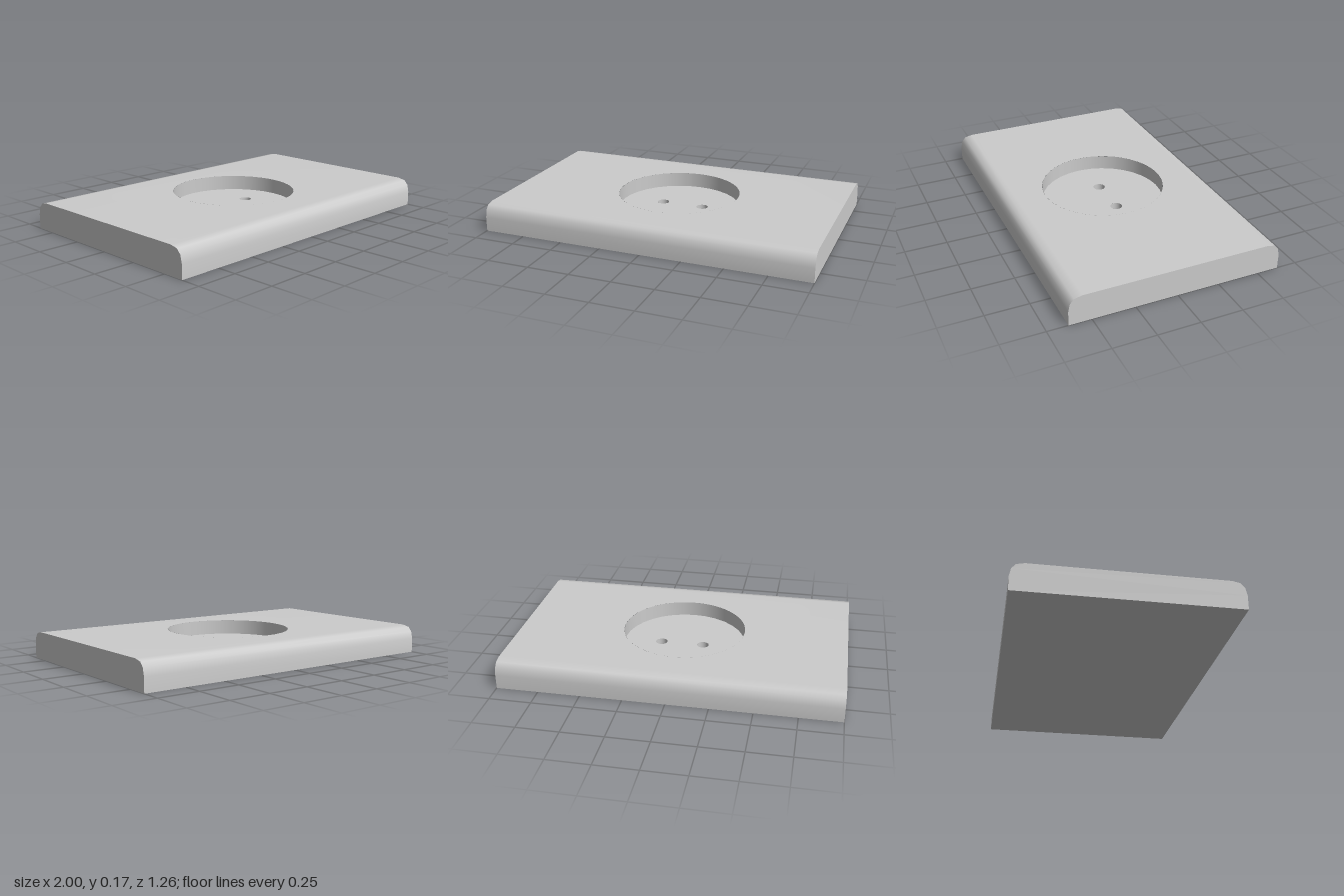
import * as THREE from 'three';
import { mergeGeometries, toCreasedNormals } from 'three/addons/utils/BufferGeometryUtils.js';

const SEG = 32;
const TOP = 0.167, FLOOR = 0.077, PIN_FLOOR = 0.03;
const RECESS_R = 0.374, PIN_R = 0.036;
const PINS = [[-0.12, -0.03], [0.14, -0.03]];

const grey = new THREE.MeshStandardMaterial({ color: 0xcccccc });
const greyDouble = new THREE.MeshStandardMaterial({ color: 0xcccccc, side: THREE.DoubleSide });

function mesh(name, geometry, material = grey) {
  const m = new THREE.Mesh(geometry, material);
  m.name = name;
  return m;
}

// Horizontal face at height y, facing up, with round holes [x, z, r]
function sheet(shape, y, holes) {
  for (const [x, z, r] of holes) {
    shape.holes.push(new THREE.Path().absarc(x, -z, r, 0, Math.PI * 2, true));
  }
  return new THREE.ShapeGeometry(shape, SEG).rotateX(-Math.PI / 2).translate(0, y, 0);
}

const disc = (r) => new THREE.Shape().absarc(0, 0, r, 0, Math.PI * 2, false);

// Open round wall between two heights
function wall(x, z, r, low, high) {
  return new THREE.CylinderGeometry(r, r, high - low, SEG, 1, true).translate(x, (low + high) / 2, z);
}

// Cover plate: rounded long edges, flat ends, hole in the top
function plateGeometry() {
  const half = [[0.55, TOP], [0.597, 0.157], [0.62, 0.13], [0.63, 0.085], [0.63, 0]];
  const profile = [...half, ...half.map(([z, y]) => [-z, y]).reverse()];

  // Front edge, underside and back edge swept along x
  const pos = [];
  for (let i = 0; i < profile.length - 1; i++) {
    const [za, ya] = profile[i], [zb, yb] = profile[i + 1];
    pos.push(-1, ya, za, -1, yb, zb, 1, yb, zb);
    pos.push(-1, ya, za, 1, yb, zb, 1, ya, za);
  }
  const skin = new THREE.BufferGeometry();
  skin.setAttribute('position', new THREE.Float32BufferAttribute(pos, 3));

  // Top face with the recess opening
  const z = half[0][0];
  const rect = new THREE.Shape([[-1, -z], [1, -z], [1, z], [-1, z]].map((p) => new THREE.Vector2(...p)));
  const top = sheet(rect, TOP, [[0, 0, RECESS_R]]);

  // End caps
  const ends = [-1, 1].map((side) =>
    new THREE.ShapeGeometry(new THREE.Shape(profile.map((p) => new THREE.Vector2(...p))))
      .rotateY(side * Math.PI / 2).translate(side, 0, 0));

  const parts = [skin, top, ...ends].map((g) => {
    const flat = g.index ? g.toNonIndexed() : g;
    flat.deleteAttribute('uv');
    flat.deleteAttribute('normal');
    return flat;
  });
  return toCreasedNormals(mergeGeometries(parts), 0.7);
}

export function createModel() {
  const group = new THREE.Group();
  group.name = 'wallSocket';

  group.add(mesh('coverPlate', plateGeometry()));

  // Round recess
  group.add(mesh('recessWall', wall(0, 0, RECESS_R, FLOOR, TOP), greyDouble));
  group.add(mesh('recessFloor', sheet(disc(RECESS_R), FLOOR, PINS.map(([x, z]) => [x, z, PIN_R]))));

  // Pin holes
  PINS.forEach(([x, z], i) => {
    const pin = new THREE.Group();
    pin.name = i ? 'leftPinHole' : 'rightPinHole';
    pin.add(mesh('pinHoleWall', wall(x, z, PIN_R, PIN_FLOOR, FLOOR), greyDouble));
    pin.add(mesh('pinHoleFloor', sheet(disc(PIN_R), PIN_FLOOR, []).translate(x, 0, z)));
    group.add(pin);
  });

  return group;
}
